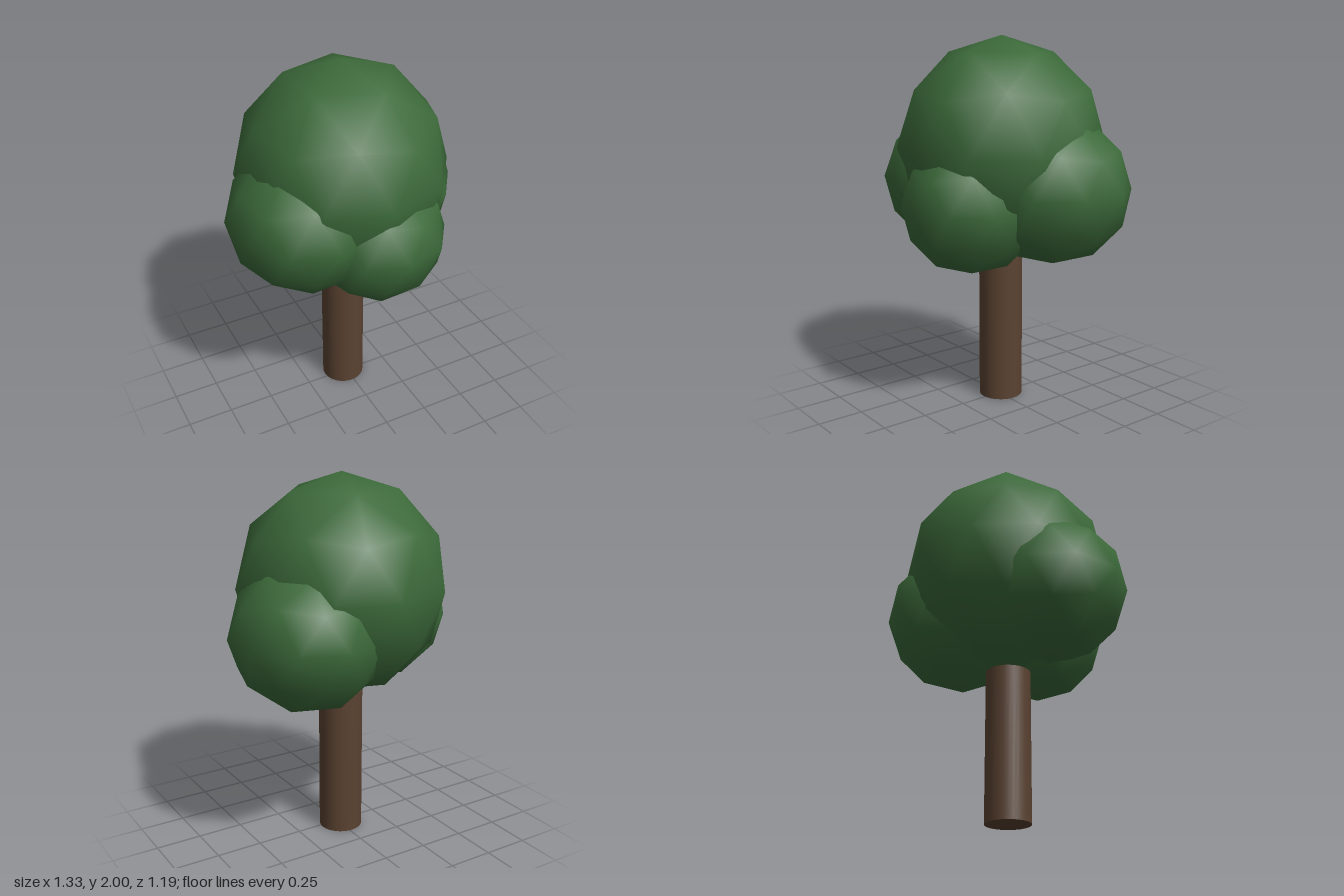
import * as THREE from 'three';

export function createModel() {
  const tree = new THREE.Group();
  tree.name = 'tree';
  const bark = new THREE.MeshStandardMaterial({ name: 'bark brown', color: 0x5a4231 });
  const leaf = new THREE.MeshStandardMaterial({ name: 'leaf green', color: 0x3c6a3a });

  // Trunk
  const trunk = new THREE.Mesh(new THREE.CylinderGeometry(0.12, 0.12, 0.815, 32), bark);
  trunk.name = 'trunk';
  trunk.position.set(-0.012, 0.4075, -0.023);
  tree.add(trunk);

  // Smooth-shaded icosphere, turned so that one corner points straight up
  const blob = new THREE.IcosahedronGeometry(1, 1);
  blob.rotateZ(-Math.atan(2 / (1 + Math.sqrt(5))));

  // Foliage: name, centre, radii
  const foliage = [
    ['crown', [-0.012, 1.41, -0.03], [0.567, 0.59, 0.567]],
    ['rightFoliage', [-0.27, 1.23, 0.07], [0.42, 0.4, 0.42]],
    ['leftFoliage', [0.27, 1.2, -0.155], [0.413, 0.405, 0.42]],
    ['frontFoliage', [0.055, 1.125, 0.224], [0.372, 0.37, 0.37]],
  ];
  for (const [name, centre, radii] of foliage) {
    const mesh = new THREE.Mesh(blob, leaf);
    mesh.name = name;
    mesh.position.set(...centre);
    mesh.scale.set(...radii);
    tree.add(mesh);
  }
  return tree;
}
